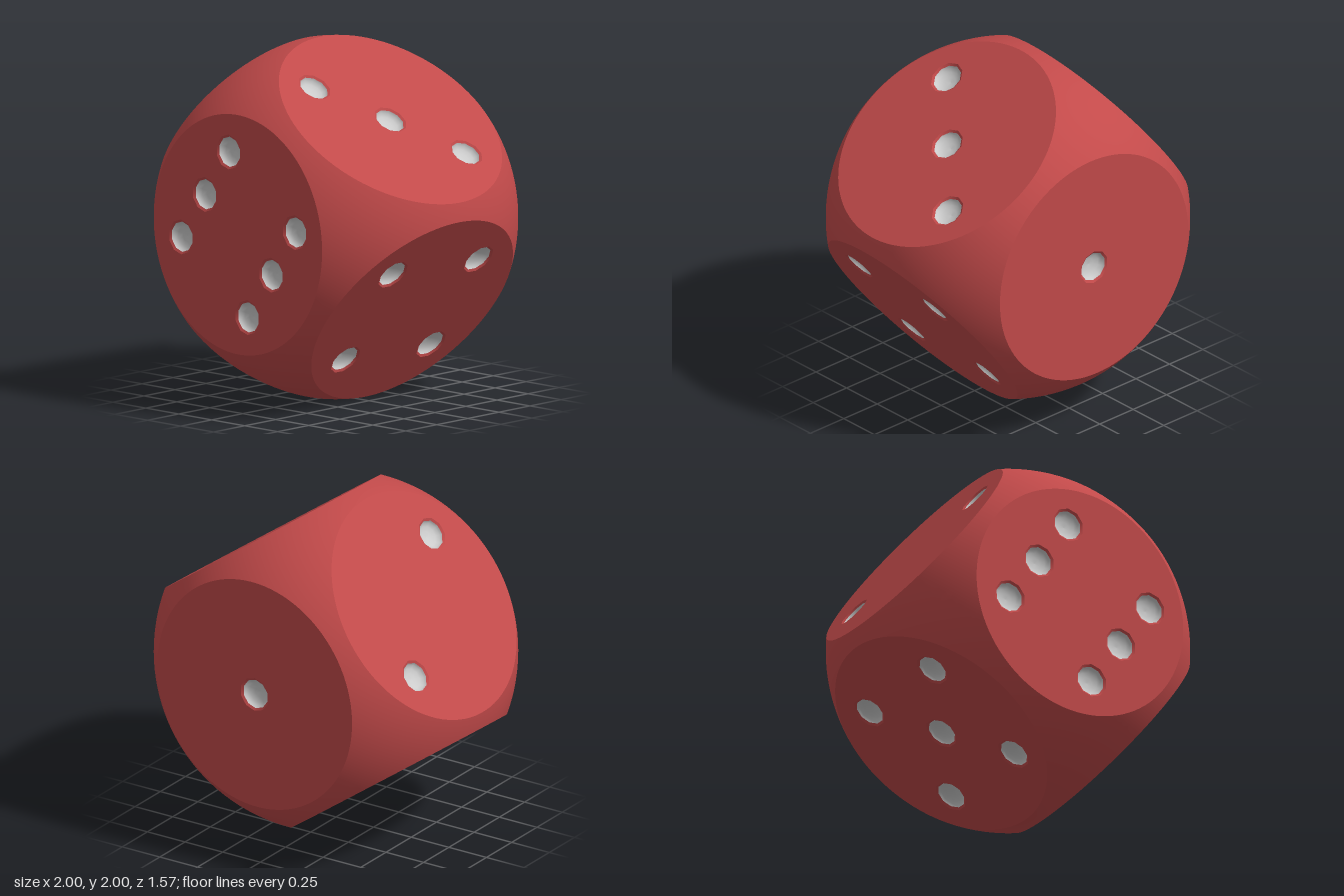
import * as THREE from 'three';

const R = 1.006;               // rounding sphere
const H = 0.748;               // half the cube's side
const DISC = Math.sqrt(R * R - H * H);
const SEG = 96;                // steps round a face
const PIP_SEG = 10;
const PIP_R = 0.085, LIP_R = 0.098, LIP_D = 0.009, PIP_D = 0.05;
const SPACING = 0.326;

const red = new THREE.MeshStandardMaterial({ color: 0xc24a4a });
red.name = 'red body';
const grey = new THREE.MeshStandardMaterial({ color: 0xcccccc });
grey.name = 'grey pips';

// Flat round face with a hole for every pip
function faceGeometry(pips) {
  const ring = (r, n, cx, cy) => Array.from({ length: n }, (_, i) => {
    const a = (i / n) * Math.PI * 2;
    return new THREE.Vector2(cx + r * Math.sin(a), cy - r * Math.cos(a));
  });
  const shape = new THREE.Shape(ring(DISC, SEG, 0, 0));
  for (const [x, y] of pips) {
    shape.holes.push(new THREE.Path(ring(LIP_R, PIP_SEG, x * SPACING, y * SPACING)));
  }
  return new THREE.ShapeGeometry(shape).translate(0, 0, H);
}

// Spherical surround between a face's circle and the square of its cube side
function surroundGeometry() {
  const rows = 8, pos = [], nor = [], idx = [];
  for (let j = 0; j <= rows; j++) {
    for (let i = 0; i <= SEG; i++) {
      const a = (i / SEG) * Math.PI * 2, c = Math.cos(a), s = Math.sin(a);
      const edge = H / Math.max(Math.abs(c), Math.abs(s));
      const r = DISC + (edge - DISC) * (j / rows);
      const n = new THREE.Vector3(c * r, s * r, H).normalize();
      nor.push(n.x, n.y, n.z);
      pos.push(n.x * R, n.y * R, n.z * R);
      if (j < rows && i < SEG) {
        const p = j * (SEG + 1) + i, q = p + SEG + 1;
        idx.push(p, q, q + 1, p, q + 1, p + 1);
      }
    }
  }
  const g = new THREE.BufferGeometry();
  g.setAttribute('position', new THREE.Float32BufferAttribute(pos, 3));
  g.setAttribute('normal', new THREE.Float32BufferAttribute(nor, 3));
  g.setIndex(idx);
  return g;
}

// Turned shape facing +z; the profile runs from rim to centre
function turned(points) {
  const profile = points.map(([x, y]) => new THREE.Vector2(x, y));
  return new THREE.LatheGeometry(profile, PIP_SEG).rotateX(Math.PI / 2);
}

export function createModel() {
  const model = new THREE.Group();
  model.name = 'die';
  const add = (parent, geometry, material, name) => {
    const mesh = new THREE.Mesh(geometry, material);
    mesh.name = name;
    parent.add(mesh);
    return mesh;
  };

  const surround = surroundGeometry();
  const lip = turned([[LIP_R, 0], [PIP_R, -LIP_D]]);
  const bowl = turned([0, 1, 2, 3, 4].map((i) => {
    const a = (i / 4) * Math.PI / 2;
    return [PIP_R * Math.cos(a), -LIP_D - (PIP_D - LIP_D) * Math.sin(a)];
  }));

  const X = new THREE.Vector3(1, 0, 0), Y = new THREE.Vector3(0, 1, 0), Z = new THREE.Vector3(0, 0, 1);
  const corners = [[-1, -1], [1, -1], [-1, 1], [1, 1]];
  // Each face: name, its two in-plane axes, pip places
  const faces = [
    ['sixFace', X, Y, [...corners, [-1, 0], [1, 0]]],
    ['oneFace', X.clone().negate(), Y, [[0, 0]]],
    ['fourFace', Y, Z, corners],
    ['twoFace', Z, Y, [[1, 1], [-1, -1]]],
    ['threeFace', Z, X, [[-1, 1], [0, 0], [1, -1]]],
    ['fiveFace', X, Z, [...corners, [0, 0]]],
  ];

  for (const [name, a, b, pips] of faces) {
    const side = new THREE.Group();
    side.name = name;
    const basis = new THREE.Matrix4().makeBasis(a, b, a.clone().cross(b));
    side.quaternion.setFromRotationMatrix(basis);
    add(side, faceGeometry(pips), red, 'flatFace');
    add(side, surround, red, 'roundedEdge');
    for (const [x, y] of pips) {
      for (const [geometry, material, part] of [[lip, red, 'pipRim'], [bowl, grey, 'pip']]) {
        add(side, geometry, material, part).position.set(x * SPACING, y * SPACING, H);
      }
    }
    model.add(side);
  }

  // Tilted onto one edge
  model.rotation.set(0, -0.053, -0.621, 'YXZ');
  model.position.y = 1;
  const root = new THREE.Group();
  root.name = 'tiltedDie';
  root.add(model);
  return root;
}
